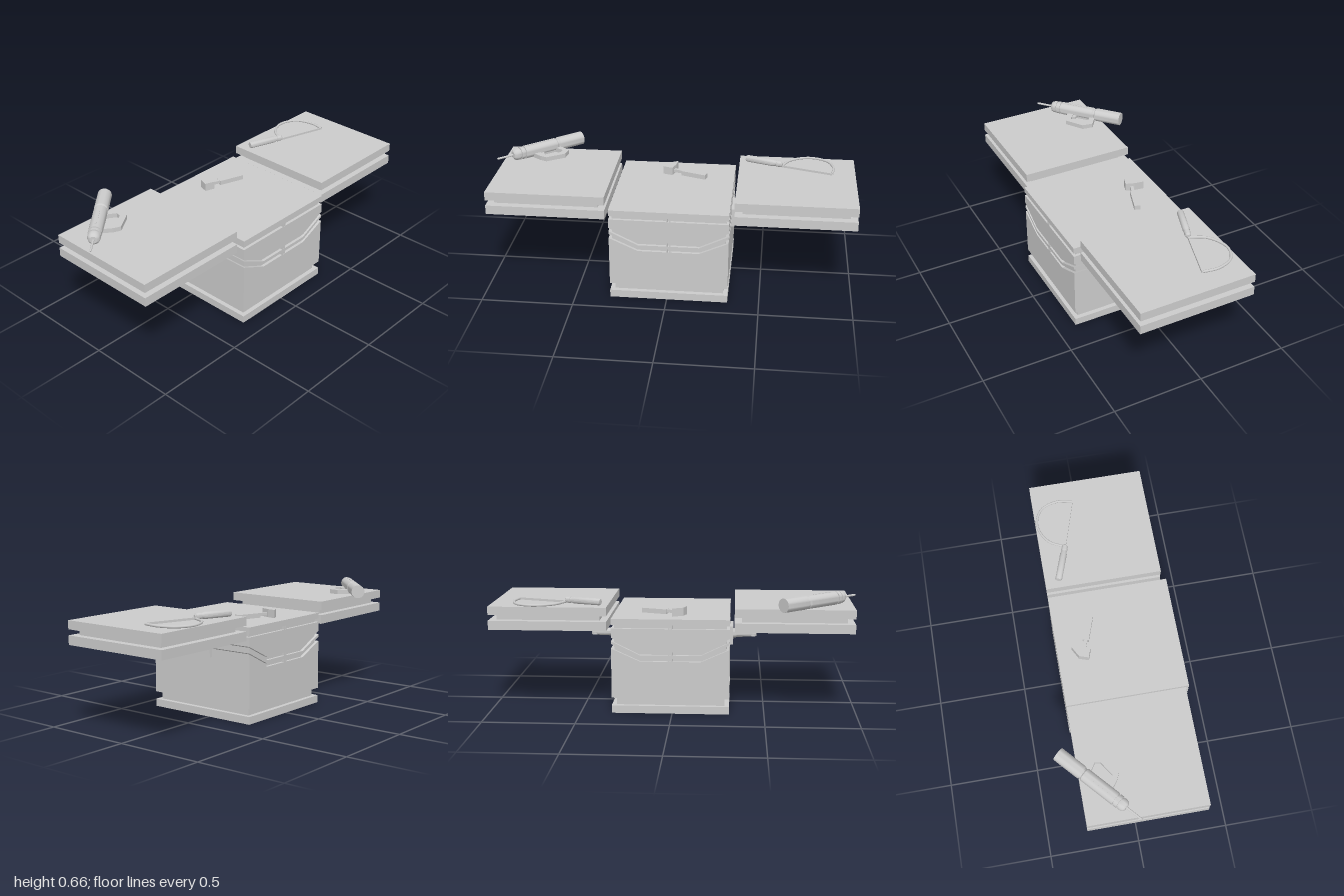
import * as THREE from 'three';
import { toCreasedNormals } from 'three/addons/utils/BufferGeometryUtils.js';

const mat = new THREE.MeshStandardMaterial({ color: 0xcccccc, side: THREE.DoubleSide });

function add(parent, name, geo) {
  const mesh = new THREE.Mesh(geo, mat);
  mesh.name = name;
  parent.add(mesh);
  return mesh;
}

// Box given by its limits on each axis
function box(parent, name, x0, x1, y0, y1, z0, z1) {
  const geo = new THREE.BoxGeometry(x1 - x0, y1 - y0, z1 - z0);
  geo.translate((x0 + x1) / 2, (y0 + y1) / 2, (z0 + z1) / 2);
  return add(parent, name, geo);
}

const toShape = (pts) => new THREE.Shape(pts.map(([x, y]) => new THREE.Vector2(x, y)));

// Outline in (x, z), lying flat between y0 and y1
function flatPlate(parent, name, pts, y0, y1, hole) {
  const shape = toShape(pts.map(([x, z]) => [x, -z]));
  if (hole) shape.holes.push(toShape(hole.map(([x, z]) => [x, -z])));
  const geo = new THREE.ExtrudeGeometry(shape, { depth: y1 - y0, bevelEnabled: false });
  geo.rotateX(-Math.PI / 2).translate(0, y0, 0);
  return add(parent, name, geo);
}

// Turned part along +x from [position, radius] pairs
function turned(parent, name, profile, segments = 24) {
  const pts = profile.map(([u, r]) => new THREE.Vector2(r, u));
  const geo = new THREE.LatheGeometry(pts, segments).rotateZ(-Math.PI / 2);
  return add(parent, name, toCreasedNormals(geo, 0.6));
}

// Chest, centred on its own x and z
function createChest() {
  const chest = new THREE.Group();
  chest.name = 'chest';
  const W = 0.32, D = 0.336, G = 0.016;
  box(chest, 'basePlate', -W, W, 0, 0.042, -D, D);
  box(chest, 'plinth', -W + 0.025, W - 0.025, 0.042, 0.087, -D + 0.025, D - 0.025);
  box(chest, 'innerCore', -W + G, W - G, 0.1, 0.5, -D + G, D - G);
  box(chest, 'lid', -W, W, 0.49, 0.523, -D, D);

  // Dipping line shared by the drawer seams, from left to right
  const seam = (side, middle) => [[-W, side], [-0.165, middle], [0.165, middle], [W, side]];
  const panel = (name, bottom, top) => {
    const geo = new THREE.ExtrudeGeometry(toShape([...bottom, ...top.reverse()]), { depth: 2 * D, bevelEnabled: false });
    add(chest, name, geo.translate(0, 0, -D));
  };
  panel('lowerBody', [[-W, 0.085], [W, 0.085]], seam(0.36, 0.29));
  panel('middleBand', seam(0.385, 0.307), seam(0.4, 0.325));
  panel('upperBody', seam(0.42, 0.343), [[-W, 0.47], [W, 0.47]]);

  // Small paired catches bridging each seam, front and back
  for (const [y0, y1] of [[0.29, 0.307], [0.325, 0.343], [0.47, 0.49]])
    for (const x of [-0.007, 0.007])
      for (const s of [-1, 1]) {
        const catchMesh = box(chest, 'catch', x - 0.004, x + 0.004, y0, y1, -0.009, 0.009);
        catchMesh.position.z = s * (D - 0.009);
      }
  return chest;
}

// Arm carrying a side table, reaching toward +x from the chest wall
function createArm() {
  const arm = new THREE.Group();
  arm.name = 'supportArm';
  box(arm, 'wallPlate', 0.32, 0.338, 0.335, 0.437, -0.08, 0.08);
  const tube = turned(arm, 'armTube', [
    [0.335, 0], [0.335, 0.027], [0.35, 0.027], [0.36, 0.023], [0.44, 0.02], [0.465, 0.02], [0.465, 0]]);
  tube.position.y = 0.385;
  const post = new THREE.CylinderGeometry(0.016, 0.02, 0.08, 20).translate(0.45, 0.41, 0);
  add(arm, 'post', post);
  box(arm, 'tablePlate', 0.395, 0.5, 0.444, 0.456, -0.086, 0.086);
  return arm;
}

function createTable() {
  const table = new THREE.Group();
  table.name = 'sideTable';
  const H = 0.322;
  box(table, 'lowerSlab', -H, H, 0.455, 0.505, -H, H);
  box(table, 'neck', -H + 0.04, H - 0.04, 0.505, 0.536, -H + 0.04, H - 0.04);
  box(table, 'upperSlab', -H, H, 0.536, 0.583, -H, H);
  return table;
}

// Drill lying on its side: tip at the origin, body along +x, handle toward +z
function createDrill() {
  const drill = new THREE.Group();
  drill.name = 'drill';
  turned(drill, 'bit', [[0, 0], [0.004, 0.006], [0.12, 0.006]], 10);
  turned(drill, 'chuck', [
    [0.1, 0], [0.1, 0.02], [0.107, 0.029], [0.12, 0.034], [0.137, 0.034],
    [0.137, 0.029], [0.143, 0.029], [0.143, 0.036], [0.163, 0.036], [0.163, 0.03], [0.17, 0.03]]);
  turned(drill, 'motorBody', [
    [0.17, 0.03], [0.17, 0.037], [0.374, 0.037], [0.38, 0.032], [0.388, 0.032]]);
  turned(drill, 'rearCylinder', [[0.388, 0.032], [0.394, 0.038], [0.55, 0.038], [0.55, 0]]);
  flatPlate(drill, 'handle',
    [[0.215, 0.02], [0.228, 0.085], [0.245, 0.122], [0.36, 0.138], [0.408, 0.098], [0.39, 0.02]],
    -0.033, -0.008,
    [[0.255, 0.03], [0.262, 0.09], [0.35, 0.103], [0.375, 0.085], [0.36, 0.03]]);
  flatPlate(drill, 'trigger', [[0.255, 0.03], [0.257, 0.06], [0.275, 0.055], [0.28, 0.03]], -0.028, -0.013);
  for (const s of [-1, 1])
    box(drill, 'bodyRib', 0.2, 0.33, s * 0.035 - 0.003, s * 0.035 + 0.003, -0.006, 0.006);
  return drill;
}

// Hammer: head at the origin, shaft along +x, wedge end toward -z
function createHammer() {
  const hammer = new THREE.Group();
  hammer.name = 'hammer';
  flatPlate(hammer, 'head',
    [[-0.034, 0.036], [0.022, 0.036], [0.022, -0.018], [0.012, -0.068], [-0.034, -0.018]], 0, 0.045);
  box(hammer, 'shaft', 0.015, 0.075, 0.009, 0.026, -0.008, 0.01);
  box(hammer, 'grip', 0.07, 0.215, 0.001, 0.027, -0.016, 0.018);
  return hammer;
}

// Bow saw lying flat, laid out in (x, z)
function createSaw() {
  const saw = new THREE.Group();
  saw.name = 'bowSaw';
  const y = 0.59;
  const heading = Math.atan2(0.07, 0.203);
  const grip = turned(saw, 'grip', [
    [0, 0], [0, 0.016], [0.008, 0.019], [0.16, 0.019], [0.17, 0.015], [0.18, 0.015],
    [0.182, 0.018], [0.208, 0.016], [0.215, 0.008], [0.215, 0]], 16);
  grip.position.set(0.393, 0.601, -0.206);
  grip.rotation.y = -heading;
  const bow = new THREE.CatmullRomCurve3(
    [[0.592, -0.137], [0.644, -0.227], [0.751, -0.272], [0.845, -0.233], [0.88, -0.142], [0.869, -0.053]]
      .map(([x, z]) => new THREE.Vector3(x, y, z)));
  add(saw, 'bow', new THREE.TubeGeometry(bow, 40, 0.007, 8));
  const blade = box(saw, 'blade', 0, 0.29, -0.006, 0.006, -0.003, 0.003);
  blade.position.set(0.592, y, -0.137);
  blade.rotation.y = -Math.atan2(0.085, 0.277);
  return saw;
}

export function createModel() {
  const model = new THREE.Group();
  model.name = 'workStation';

  // Chest with an arm on each side
  const station = new THREE.Group();
  station.name = 'chestAndArms';
  station.position.set(0.01, 0, 0.055);
  const rightArm = createArm();
  rightArm.rotation.y = Math.PI;
  station.add(createChest(), createArm(), rightArm);
  model.add(station);

  // Side tables
  for (const s of [-1, 1]) {
    const table = createTable();
    table.position.set(0.01 + s * 0.667, 0, 0.041);
    model.add(table);
  }

  // Tools
  const drill = createDrill();
  drill.position.set(-1, 0.62, 0);
  drill.rotation.y = 0.727;
  const hammer = createHammer();
  hammer.position.set(-0.03, 0.523, -0.14);
  hammer.rotation.y = -0.33;
  model.add(drill, hammer, createSaw());
  return model;
}
